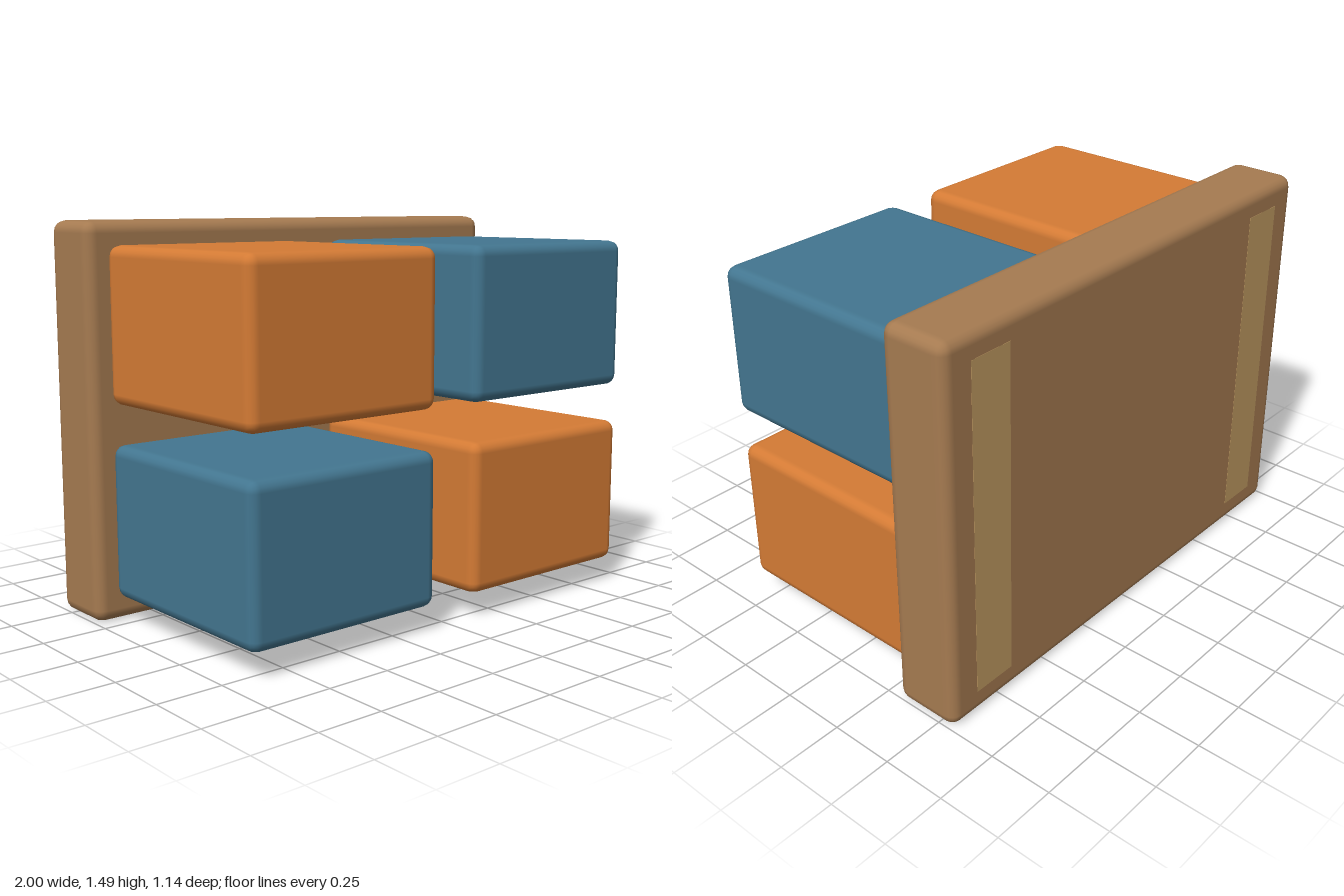
import * as THREE from 'three';
import { RoundedBoxGeometry } from 'three/addons/geometries/RoundedBoxGeometry.js';

const material = (color) => new THREE.MeshStandardMaterial({ color });

export function createModel() {
  const model = new THREE.Group();
  const wood = material(0xa67b51);
  const tan = material(0xc09a62);
  const orange = material(0xd47b35);
  const blue = material(0x437690);

  const add = (parent, name, geometry, mat, x, y, z) => {
    const mesh = new THREE.Mesh(geometry, mat);
    mesh.name = name;
    mesh.position.set(x, y, z);
    parent.add(mesh);
  };

  // Upright backboard with softened edges
  add(model, 'backboard', new RoundedBoxGeometry(2, 1.49, 0.27, 2, 0.045), wood, 0, 0.745, -0.435);

  // Two vertical strips set nearly flush into the rear
  for (const side of [-1, 1]) {
    add(model, side > 0 ? 'leftBackStrip' : 'rightBackStrip',
      new THREE.BoxGeometry(0.18, 1.3, 0.02), tan, side * 0.785, 0.745, -0.561);
  }

  // Four projecting blocks in alternating colours, each with a plate below
  const blockGeometry = new RoundedBoxGeometry(0.83, 0.58, 0.87, 2, 0.042);
  const plateGeometry = new THREE.BoxGeometry(0.42, 0.014, 0.31);
  [0.385, 1.113].forEach((y, row) => {
    for (const side of [-1, 1]) {
      const unit = new THREE.Group();
      unit.name = (row ? 'upper' : 'lower') + (side > 0 ? 'Left' : 'Right') + 'Unit';
      unit.position.set(side * 0.51, y, 0);
      add(unit, 'block', blockGeometry, (side > 0) === (row === 1) ? blue : orange, 0, 0, 0.135);
      add(unit, 'bottomPlate', plateGeometry, tan, 0, -0.302, 0.155);
      model.add(unit);
    }
  });

  return model;
}
